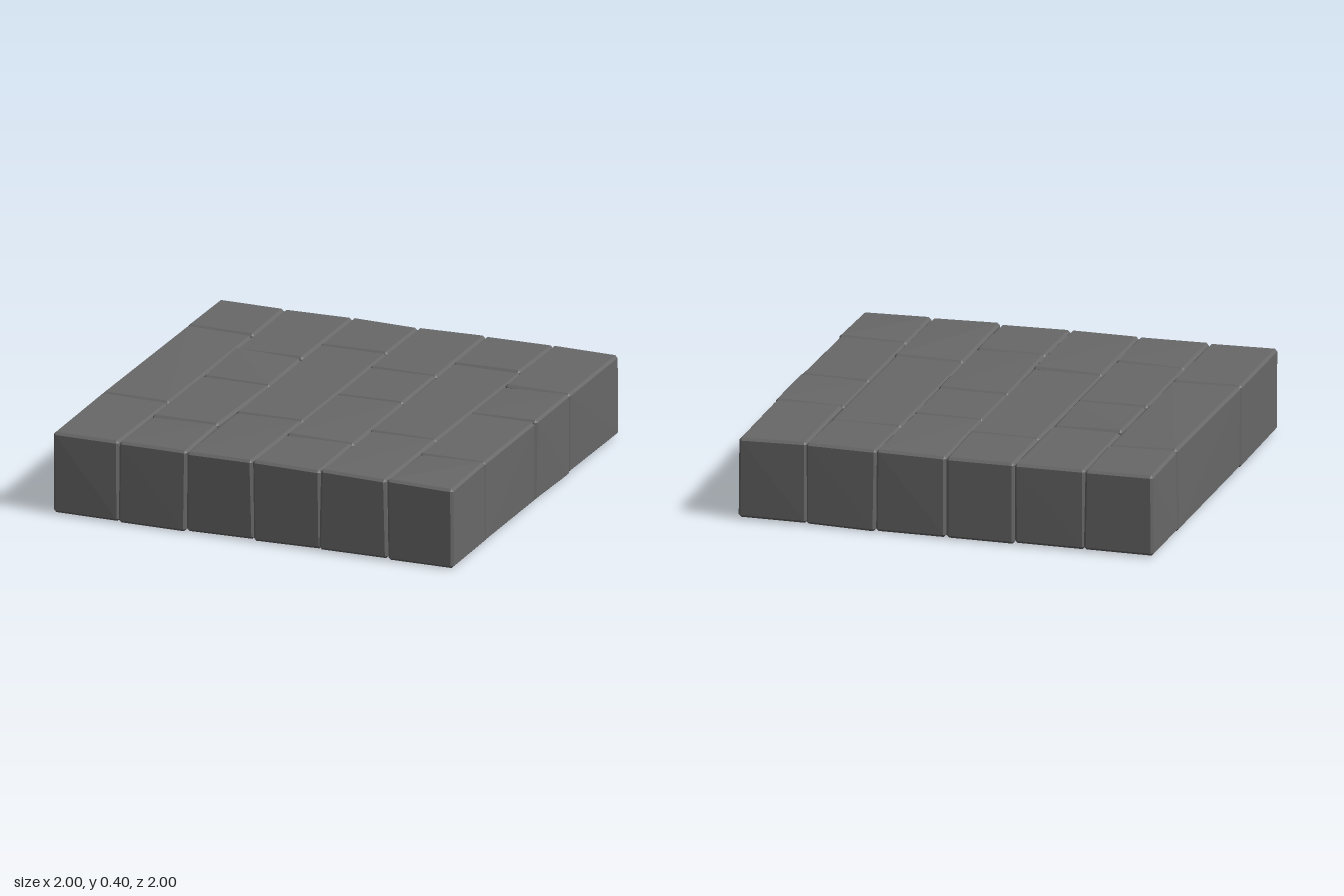
import * as THREE from 'three';
import { ConvexGeometry } from 'three/addons/geometries/ConvexGeometry.js';

const HEIGHT = 0.4;
const BEVEL = 0.012;
const WOBBLE = 0.01;

// Small seeded generator for the hand-cut look
function seeded(seed) {
  let s = seed;
  return () => (s = (s * 16807) % 2147483647) / 2147483647;
}

// Chamfered block: each corner is pulled in a little, then cut into three points
function stoneGeometry(min, max, rand) {
  const points = [];
  for (const sx of [0, 1]) for (const sy of [0, 1]) for (const sz of [0, 1]) {
    const side = [sx, sy, sz];
    const corner = side.map((s, i) => {
      const inset = rand() * WOBBLE;
      return s ? max[i] - inset : min[i] + inset;
    });
    for (let face = 0; face < 3; face++) {
      const p = corner.map((c, i) => (i === face ? c : c + (side[i] ? -BEVEL : BEVEL)));
      points.push(new THREE.Vector3(...p));
    }
  }
  return new ConvexGeometry(points);
}

// Stones press together at inner joints but stay inside the outer edge
const grow = (v, amount) => THREE.MathUtils.clamp(v + amount, -1, 1);

export function createModel() {
  const group = new THREE.Group();
  group.name = 'stoneFloor';
  const material = new THREE.MeshStandardMaterial({ color: 0x686868, flatShading: true });
  const rand = seeded(4217);

  // Joints along z for the two alternating column layouts
  const layouts = [
    [-1, -0.6, 0.4, 1],
    [-1, -0.4, 0, 0.6, 1],
  ];

  // Six columns of paving stones
  for (let col = 0; col < 6; col++) {
    const x0 = grow(-1 + col / 3, -0.005);
    const x1 = grow(-1 + (col + 1) / 3, 0.005);
    const joints = layouts[col % 2];
    for (let row = 0; row < joints.length - 1; row++) {
      const z0 = grow(joints[row], -0.003);
      const z1 = grow(joints[row + 1], 0.003);
      const stone = new THREE.Mesh(stoneGeometry([x0, 0, z0], [x1, HEIGHT, z1], rand), material);
      stone.name = `pavingStone_column${col + 1}_row${row + 1}`;
      group.add(stone);
    }
  }
  return group;
}
